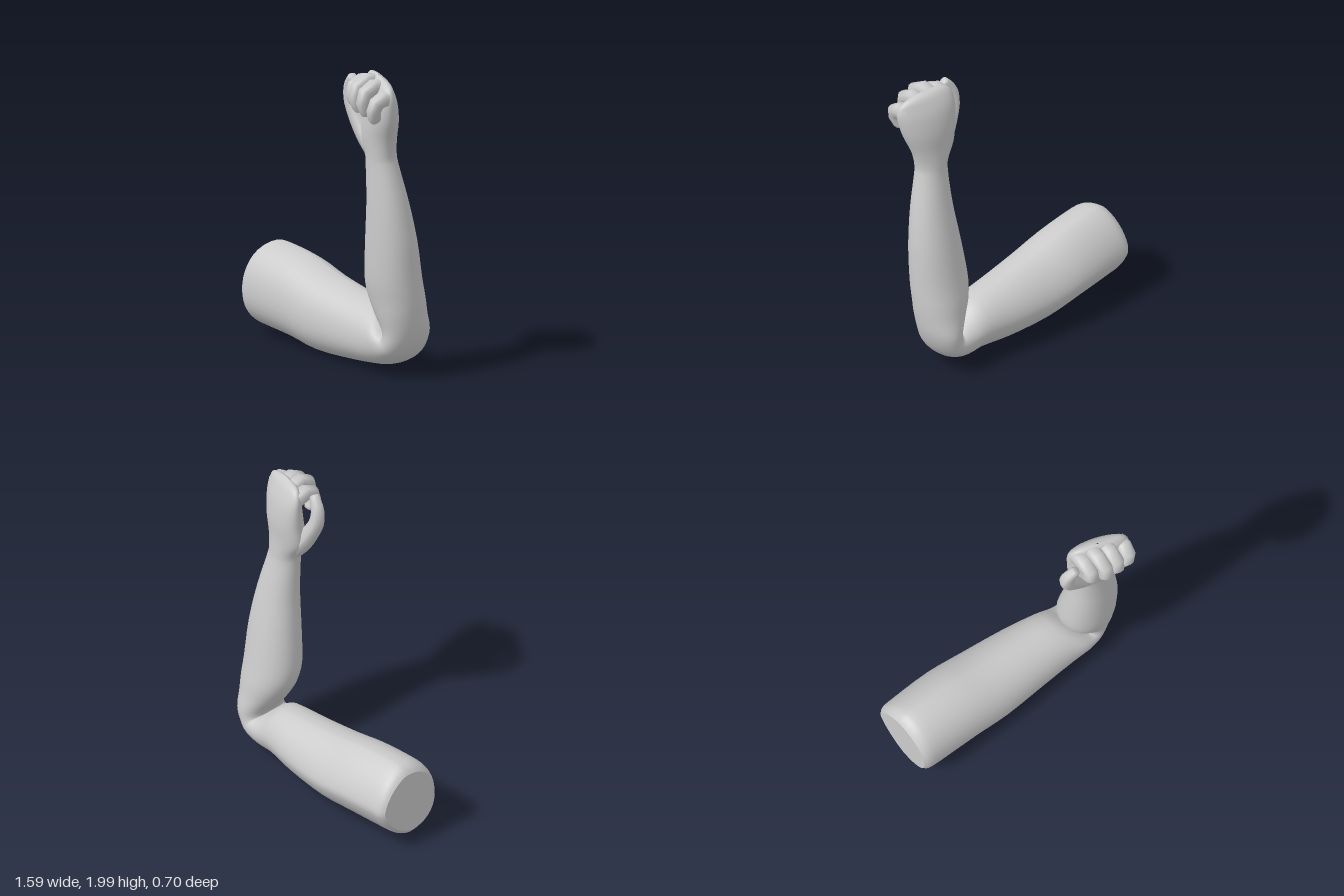
import * as THREE from 'three';

const V = (x, y, z) => new THREE.Vector3(x, y, z);
const { lerp, smoothstep } = THREE.MathUtils;
const material = new THREE.MeshStandardMaterial({ color: 0xcccccc });

// Skin a list of rings; each has a centre c and half axes a and b.
// power(f, s) sets how boxy (< 1) or pointed (> 1) a ring is at fraction f, side s
function loft(name, rings, sides, power) {
  const pos = [], index = [];
  const soft = (v, p) => Math.sign(v) * Math.abs(v) ** p;
  rings.forEach(({ c, a, b }, i) => {
    for (let j = 0; j < sides; j++) {
      const t = (j / sides) * Math.PI * 2, s = Math.sin(t);
      const e = power(i / (rings.length - 1), s);
      const p = c.clone().addScaledVector(a, soft(Math.cos(t), e)).addScaledVector(b, soft(s, e));
      pos.push(p.x, p.y, p.z);
    }
  });
  for (let i = 0; i < rings.length - 1; i++) {
    for (let j = 0; j < sides; j++) {
      const k = (j + 1) % sides, p = i * sides, q = p + sides;
      index.push(p + j, q + j, p + k, q + j, q + k, p + k);
    }
  }
  const geo = new THREE.BufferGeometry();
  geo.setAttribute('position', new THREE.Float32BufferAttribute(pos, 3));
  geo.setIndex(index);
  geo.computeVertexNormals();
  const mesh = new THREE.Mesh(geo, material);
  mesh.name = name;
  return mesh;
}

// Ring spanning from the inner edge of the bent arm to its outer edge
function section(inner, outer, depth) {
  return {
    c: inner.clone().add(outer).multiplyScalar(0.5),
    a: outer.clone().sub(inner).multiplyScalar(0.5),
    b: V(0, 0, depth),
  };
}

// Smooth in-between rings
function refine(rings, count) {
  const [c, a, b] = ['c', 'a', 'b'].map((key) =>
    new THREE.CatmullRomCurve3(rings.map((r) => r[key]), false, 'catmullrom').getPoints(count));
  return c.map((centre, i) => ({ c: centre, a: a[i], b: b[i] }));
}

const shrink = ({ c, a, b }, s) => ({ c, a: a.clone().multiplyScalar(s), b: b.clone().multiplyScalar(s) });

// Finger or thumb: closed root, rings along a path, tapering to a rounded tip
function digit(name, points, rStart, rEnd, side) {
  const last = points.length - 1;
  const rings = points.map((c, i) => {
    const d = points[Math.min(i + 1, last)].clone().sub(points[Math.max(i - 1, 0)]).normalize();
    const a = side.clone().addScaledVector(d, -side.dot(d)).normalize();
    const b = a.clone().cross(d);
    return { d, ...shrink({ c, a, b }, lerp(rStart, rEnd, i / last)) };
  });
  const end = rings[last];
  for (const [along, size] of [[0.4, 0.85], [0.55, 0.55], [0.6, 0.001]]) {
    const c = end.c.clone().addScaledVector(end.d, rEnd * along);
    rings.push(shrink({ ...end, c }, size));
  }
  rings.unshift(shrink(rings[0], 0.001));
  return loft(name, rings, 12, () => 0.78);
}

export function createModel() {
  const model = new THREE.Group();
  model.name = 'bentArm';

  // Upper arm: x, top, bottom, z, half depth; the top leans to the back
  const upperArm = [
    [-0.8, 0.54, 0.1, -0.11, 0.215],
    [-0.765, 0.575, 0.065, -0.112, 0.237],
    [-0.68, 0.592, 0.05, -0.11, 0.243],
    [-0.4, 0.56, 0.03, -0.105, 0.248],
    [-0.15, 0.5, 0.003, -0.088, 0.24],
    [0.15, 0.45, 0.017, -0.068, 0.214],
    [0.38, 0.412, 0.042, -0.042, 0.187],
  ].map(([x, top, bottom, z, h]) => section(V(x, top, z - 0.02), V(x, bottom, z + 0.02), h));

  // Elbow: crease x, y, outer x, y and half depth
  const elbow = [
    [0.48, 0.35, 0.53, 0.062, 0.18],
    [0.537, 0.3, 0.645, 0.112, 0.172],
    [0.545, 0.29, 0.715, 0.19, 0.166],
    [0.53, 0.325, 0.76, 0.3, 0.166],
  ].map(([ix, iy, ox, oy, h]) => section(V(ix, iy, -0.02), V(ox, oy, -0.03), h));

  // Forearm: y, inner x, outer x, z, half depth
  const forearm = [
    [0.415, 0.47, 0.778, -0.005, 0.168],
    [0.52, 0.42, 0.785, 0.01, 0.17],
    [0.65, 0.402, 0.785, 0.032, 0.167],
    [0.9, 0.427, 0.779, 0.058, 0.149],
    [1.15, 0.457, 0.745, 0.085, 0.122],
    [1.38, 0.462, 0.695, 0.109, 0.094],
  ].map(([y, x0, x1, z, h]) => section(V(x0, y, z), V(x1, y, z), h));

  // Hand: thumb side x, y, z, little finger side x, y, z, half thickness
  const hand = [
    [0.452, 1.47, 0.11, 0.685, 1.46, 0.12, 0.09],
    [0.4, 1.57, 0.105, 0.708, 1.57, 0.135, 0.092],
    [0.405, 1.7, 0.085, 0.758, 1.7, 0.165, 0.096],
    [0.405, 1.84, 0.075, 0.785, 1.82, 0.19, 0.082],
    [0.415, 1.93, 0.085, 0.78, 1.89, 0.2, 0.062],
    [0.46, 1.98, 0.105, 0.74, 1.94, 0.185, 0.035],
    [0.57, 1.985, 0.14, 0.62, 1.98, 0.155, 0.002],
  ].map(([x0, y0, z0, x1, y1, z1, h]) => section(V(x0, y0, z0), V(x1, y1, z1), h));

  // The upper arm is pointed at the back and fuller at the front
  const fullness = (f, s) => (s < 0 ? lerp(1.3, 0.95, smoothstep(f, 0.12, 0.38)) : 0.92);
  const rings = [...upperArm, ...elbow, ...forearm, ...hand];
  model.add(loft('armAndPalm', refine(rings, (rings.length - 1) * 3), 36, fullness));

  // Flat cut at the shoulder end
  const cut = [shrink(rings[0], 0.001), rings[0]];
  model.add(loft('shoulderCap', cut, 36, (f, s) => fullness(0, s)));

  // Curled fingers share one curl (forward, down), scaled by reach and drop
  const curl = [[0, 0.12], [0.5, 0], [0.9, 0.2], [1, 0.62], [0.82, 1]];
  const fingers = {
    indexFinger: [0.455, 1.92, 0.1, 0.15, 0.125, -0.005],
    middleFinger: [0.538, 1.945, 0.13, 0.165, 0.165, -0.003],
    ringFinger: [0.628, 1.925, 0.15, 0.15, 0.155, -0.017],
    littleFinger: [0.732, 1.87, 0.18, 0.11, 0.13, -0.04],
  };
  for (const [name, [x, y, z, reach, drop, lean]] of Object.entries(fingers)) {
    const path = curl.map(([f, d]) => V(x + lean * d, y - drop * d, z + reach * f));
    model.add(digit(name, path, 0.052, 0.04, V(1, 0, 0.15)));
  }

  // Thumb growing out of the heel of the hand, arching up beside the index finger
  const thumbCurve = new THREE.CatmullRomCurve3([
    V(0.52, 1.48, 0.125), V(0.435, 1.57, 0.135), V(0.37, 1.67, 0.145),
    V(0.326, 1.77, 0.155), V(0.328, 1.86, 0.165), V(0.37, 1.925, 0.18),
  ]);
  model.add(digit('thumb', thumbCurve.getPoints(14), 0.066, 0.032, V(1, 0, 0.3)));

  return model;
}
